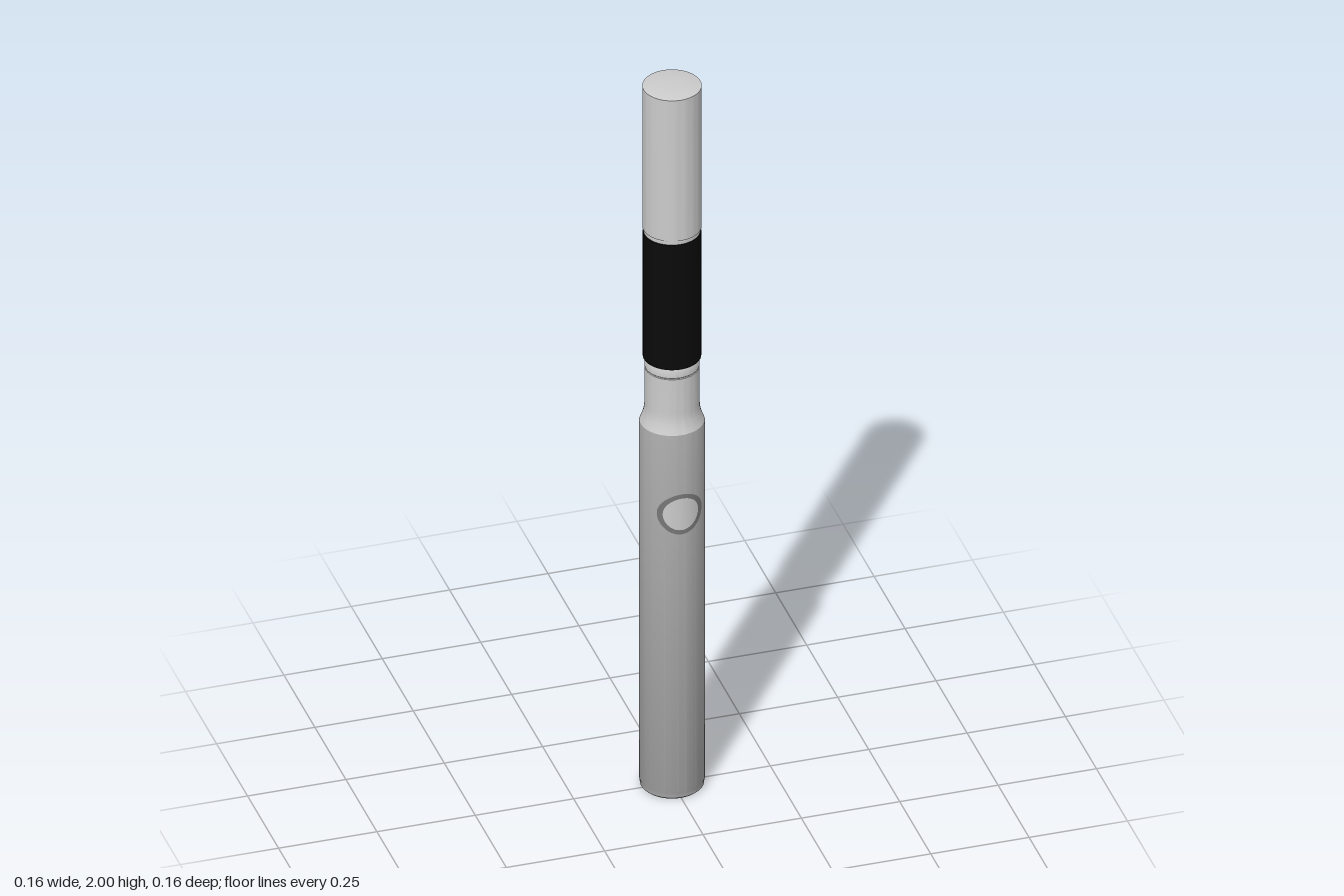
import * as THREE from 'three';
import { toCreasedNormals } from 'three/addons/utils/BufferGeometryUtils.js';

const BODY_R = 0.08;

function part(name, geometry, color = 0xcccccc) {
  const mesh = new THREE.Mesh(geometry, new THREE.MeshStandardMaterial({ color }));
  mesh.name = name;
  return mesh;
}

// Revolved solid from [radius, height] pairs, listed bottom to top
function turned(points) {
  const profile = points.map(([r, y]) => new THREE.Vector2(r, y));
  return toCreasedNormals(new THREE.LatheGeometry(profile, 64), 0.5);
}

// Bends a flat geometry facing +z onto the cylindrical front of the body
function wrapOnBody(geometry, lift) {
  const p = geometry.attributes.position;
  const r = BODY_R + lift;
  for (let i = 0; i < p.count; i++) {
    const x = p.getX(i);
    p.setZ(i, Math.sqrt(r * r - x * x));
  }
  geometry.computeVertexNormals();
  return geometry;
}

export function createModel() {
  const model = new THREE.Group();
  model.name = 'slimTube';

  // Main barrel with a chamfered foot and rounded shoulder
  model.add(part('barrel', turned([
    [0, 0], [0.074, 0], [0.078, 0.004], [0.079, 0.018], [BODY_R, 0.02],
    [BODY_R, 1.035], [0.079, 1.04], [0.066, 1.04],
  ]), 0xaaaaaa));

  // Neck, flaring down to the shoulder, with a small lip
  model.add(part('neck', turned([
    [0.079, 1.04], [0.075, 1.05], [0.07, 1.065], [0.0675, 1.08], [0.067, 1.095],
    [0.067, 1.193], [0.0655, 1.195], [0.067, 1.197], [0.067, 1.215],
    [0.065, 1.219], [0.065, 1.23],
  ])));

  // Dark grip sleeve
  model.add(part('gripSleeve', turned([
    [0.06, 1.223], [0.071, 1.223], [0.071, 1.58], [0.06, 1.58],
  ]), 0x0a0a0a));

  // Collar joining sleeve and upper tube
  model.add(part('collar', turned([
    [0.069, 1.575], [0.069, 1.595],
  ])));

  // Upper tube with a shallow crowned end
  model.add(part('upperTube', turned([
    [0.06, 1.592], [0.072, 1.592], [0.072, 1.994], [0.06, 1.996],
    [0.045, 1.998], [0.025, 1.9994], [0, 2],
  ])));

  // Round button and its bezel, following the barrel's curve
  const button = new THREE.Group();
  button.name = 'button';
  button.position.y = 0.815;
  button.add(part('buttonBezel', wrapOnBody(new THREE.RingGeometry(0.045, 0.057, 48, 2), 0.001), 0x777777));
  button.add(part('buttonCap', wrapOnBody(new THREE.RingGeometry(0, 0.046, 48, 8), 0.0008)));
  model.add(button);

  return model;
}
